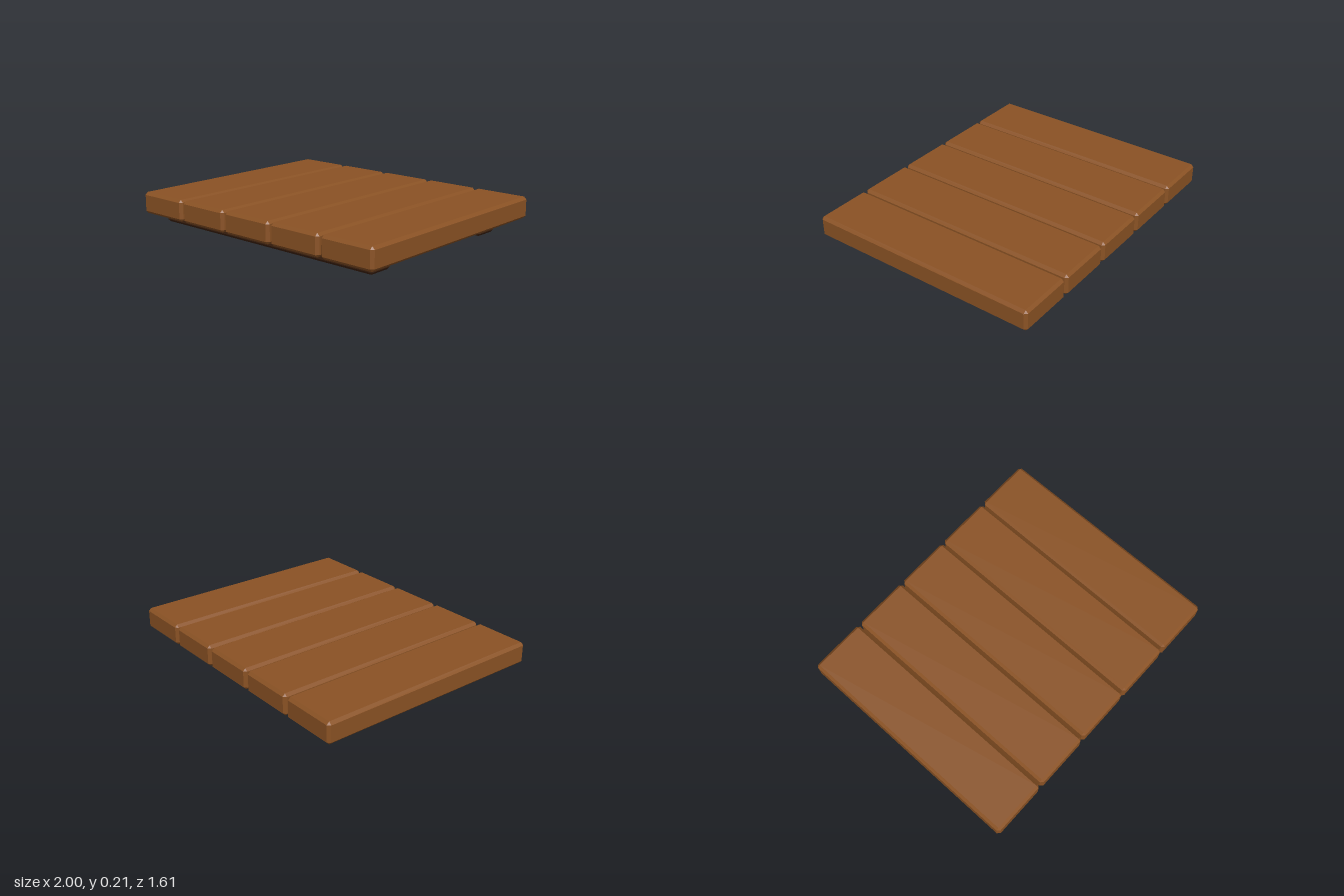
import * as THREE from 'three';
import { ConvexGeometry } from 'three/addons/geometries/ConvexGeometry.js';

// Box with every edge and corner cut by a flat chamfer
function chamferedBox(w, h, d, c) {
  const points = [];
  for (const sx of [-1, 1]) for (const sy of [-1, 1]) for (const sz of [-1, 1]) {
    const x = w / 2, y = h / 2, z = d / 2;
    points.push(
      new THREE.Vector3(sx * x, sy * (y - c), sz * (z - c)),
      new THREE.Vector3(sx * (x - c), sy * y, sz * (z - c)),
      new THREE.Vector3(sx * (x - c), sy * (y - c), sz * z)
    );
  }
  return new ConvexGeometry(points);
}

export function createModel() {
  const model = new THREE.Group();
  model.name = 'plankPlatform';

  const plankWood = new THREE.MeshStandardMaterial({ color: 0x8a5224 });
  plankWood.name = 'brown plank wood';
  const beamWood = new THREE.MeshStandardMaterial({ color: 0x402310 });
  beamWood.name = 'dark beam wood';

  // Five planks running front to back, with narrow gaps
  const plankWidth = 0.388, pitch = 0.403;
  const plankGeometry = chamferedBox(plankWidth, 0.146, 1.61, 0.018);
  for (let i = 0; i < 5; i++) {
    const plank = new THREE.Mesh(plankGeometry, plankWood);
    plank.name = `plank${i + 1}`;
    plank.position.set((i - 2) * pitch, 0.138, 0);
    model.add(plank);
  }

  // Two cross beams underneath
  const beamGeometry = chamferedBox(1.815, 0.068, 0.175, 0.018);
  for (const [name, z] of [['frontBeam', 0.602], ['backBeam', -0.481]]) {
    const beam = new THREE.Mesh(beamGeometry, beamWood);
    beam.name = name;
    beam.position.set(-0.007, 0.034, z);
    model.add(beam);
  }

  return model;
}
